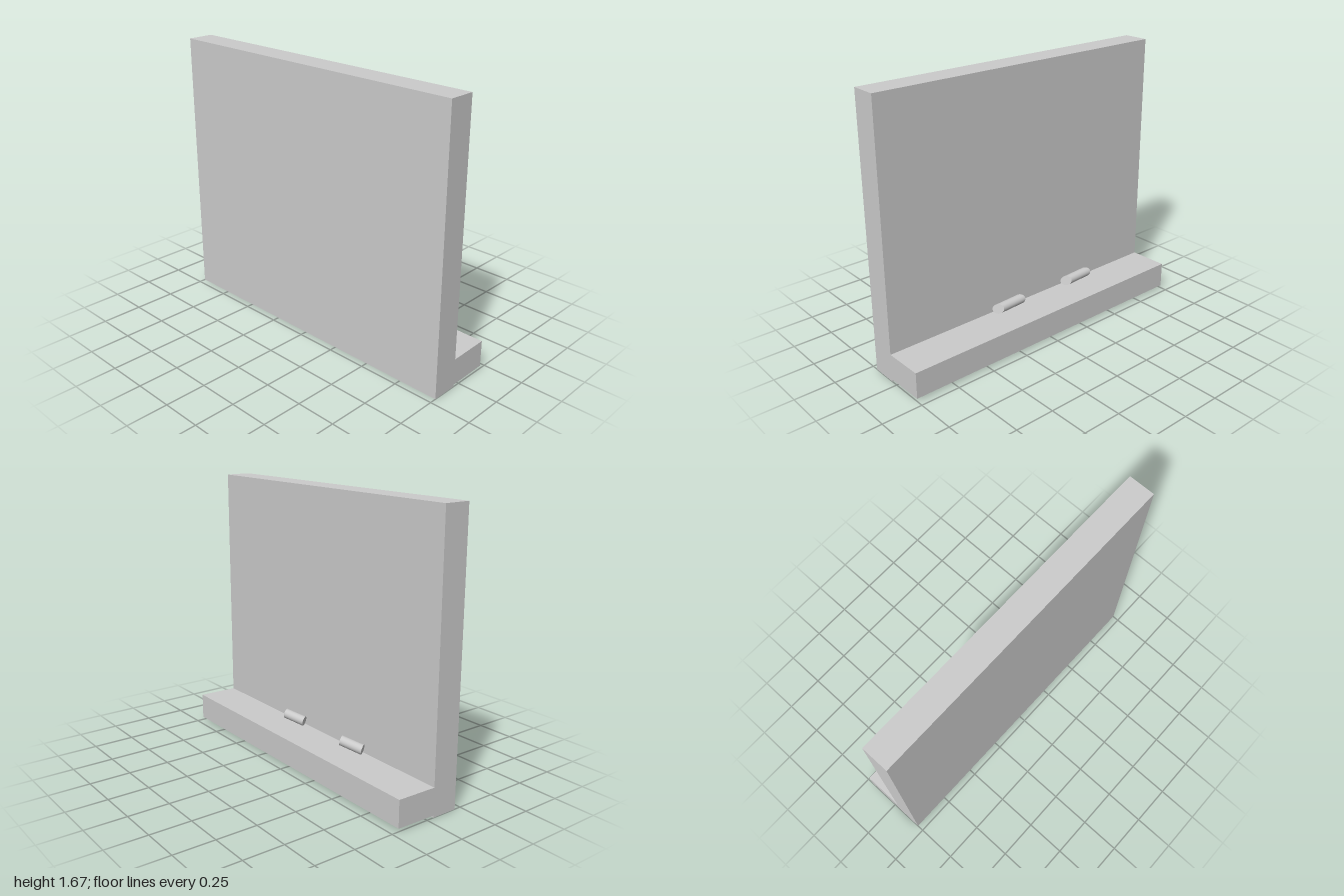
import * as THREE from 'three';

const material = new THREE.MeshStandardMaterial({ color: 0xcccccc });

function addMesh(group, name, geometry) {
  const mesh = new THREE.Mesh(geometry, material);
  mesh.name = name;
  group.add(mesh);
  return mesh;
}

// Short round stick lying along x, with both ends cut on the same slant
function slantedStick() {
  const geometry = new THREE.CylinderGeometry(0.03, 0.03, 0.18, 32);
  geometry.rotateZ(-Math.PI / 2);
  const shear = new THREE.Matrix4().set(
    1, -0.25, 0.68, 0,
    0.01, 1, 0, 0,
    -0.07, 0, 1, 0,
    0, 0, 0, 1
  );
  return geometry.applyMatrix4(shear);
}

export function createModel() {
  const model = new THREE.Group();
  model.name = 'writingBoard';

  // Upright panel
  addMesh(model, 'board', new THREE.BoxGeometry(2, 1.675, 0.163))
    .position.set(0, 0.8375, 0.127);

  // Shelf behind the foot of the panel, rising very slightly outwards
  const profile = new THREE.Shape([
    new THREE.Vector2(-0.05, 0.013),
    new THREE.Vector2(0.206, 0.018),
    new THREE.Vector2(0.206, 0.181),
    new THREE.Vector2(-0.05, 0.176),
  ]);
  const ledge = new THREE.ExtrudeGeometry(profile, { depth: 2, bevelEnabled: false });
  ledge.translate(0, 0, -1).rotateY(Math.PI / 2);
  addMesh(model, 'ledge', ledge);

  // Two sticks above the shelf
  for (const x of [-0.377, 0.183]) {
    addMesh(model, 'chalk', slantedStick()).position.set(x, 0.222, -0.007);
  }
  return model;
}
